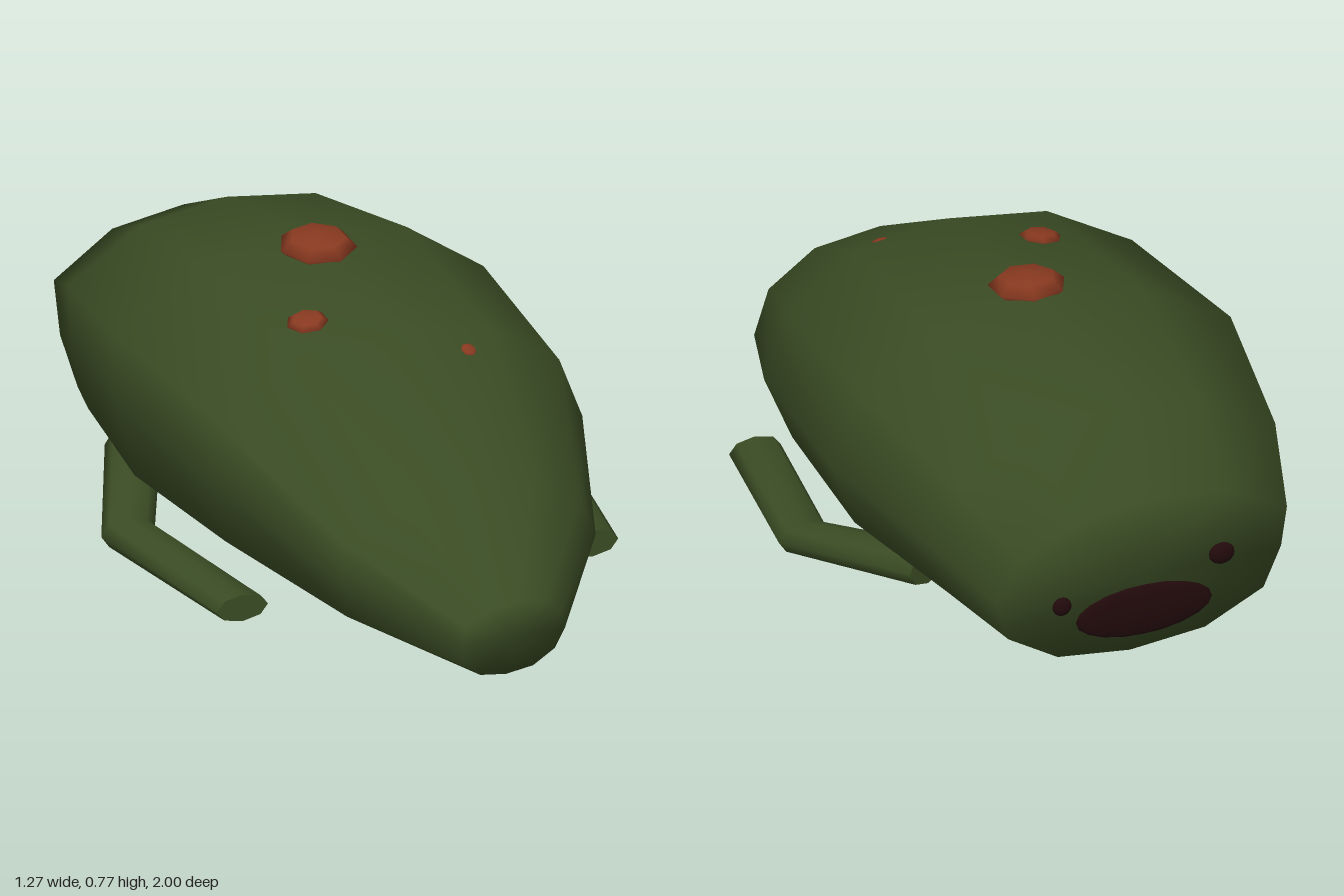
import * as THREE from 'three';

const V = (x, y, z) => new THREE.Vector3(x, y, z);

// Closed loft through elliptical rings { c: centre, u, v: half axes }, listed front to back.
function loft(rings, sides, hardCaps, stretch = () => [1, 1]) {
  const pos = [], idx = [];
  const addRing = ({ c, u, v }) => {
    const start = pos.length / 3;
    for (let j = 0; j < sides; j++) {
      const a = (j / sides) * Math.PI * 2;
      const [su, sv] = stretch(j);
      const p = c.clone().addScaledVector(u, Math.cos(a) * su).addScaledVector(v, Math.sin(a) * sv);
      pos.push(p.x, p.y, p.z);
    }
    return start;
  };
  const starts = rings.map(addRing);
  for (let i = 0; i < rings.length - 1; i++) {
    for (let j = 0; j < sides; j++) {
      const k = (j + 1) % sides;
      const a = starts[i] + j, c = starts[i] + k, b = starts[i + 1] + j, d = starts[i + 1] + k;
      idx.push(a, b, c, c, b, d);
    }
  }
  // End caps, sharing the ring vertices when the edge should be soft
  [0, rings.length - 1].forEach((i, end) => {
    const s = hardCaps ? addRing(rings[i]) : starts[i];
    const mid = pos.length / 3;
    pos.push(rings[i].c.x, rings[i].c.y, rings[i].c.z);
    for (let j = 0; j < sides; j++) {
      const k = (j + 1) % sides;
      if (end === 0) idx.push(mid, s + j, s + k);
      else idx.push(mid, s + k, s + j);
    }
  });
  const g = new THREE.BufferGeometry();
  g.setAttribute('position', new THREE.Float32BufferAttribute(pos, 3));
  g.setIndex(idx);
  g.computeVertexNormals();
  return g;
}

export function createModel() {
  const group = new THREE.Group();
  const material = (name, color) => {
    const m = new THREE.MeshStandardMaterial({ color });
    m.name = name;
    return m;
  };
  const green = material('mossGreen', 0x3a4c24);
  const red = material('rustRed', 0x883920);
  const dark = material('darkMaroon', 0x220a0c);

  const add = (name, geometry, mat) => {
    const mesh = new THREE.Mesh(geometry, mat);
    mesh.name = name;
    group.add(mesh);
    return mesh;
  };

  // Body: tilted rings as [top z, top y, bottom z, bottom y, half width]
  const bodyRings = [
    [1.0, 0.24, 0.93, 0.015, 0.145],
    [0.72, 0.44, 0.64, 0.017, 0.36],
    [0.28, 0.68, 0.22, 0.02, 0.52],
    [-0.28, 0.735, -0.22, 0.0, 0.56],
    [-0.74, 0.645, -0.64, 0.025, 0.48],
    [-1.0, 0.52, -0.84, 0.012, 0.4],
  ].map(([tz, ty, bz, by, w]) => ({
    c: V(0, (ty + by) / 2, (tz + bz) / 2),
    u: V(w, 0, 0),
    v: V(0, (ty - by) / 2, (tz - bz) / 2),
  }));
  // Full shoulders, flattened spine and belly, and a squared-off right flank
  const flank = (j) => [j === 5 ? 1.08 : j === 6 ? 0.94 : 1, j % 6 === 3 ? 1 : 1.035];
  add('body', loft(bodyRings, 12, false, flank), green);

  // Bent, flattened limbs
  for (const s of [1, -1]) {
    const rings = [
      [0.48, 0.07, 0.4, 1, 0, 0.036],
      [0.565, 0.088, -0.1, 1, -0.1, 0.042],
      [0.385, 0.15, -0.465, 0.89, -0.45, 0.052],
    ].map(([x, y, z, ux, uz, h]) => ({
      c: V(s * x, y, z),
      u: V(0.07 * ux, 0, s * 0.07 * uz),
      v: V(0, h, 0),
    }));
    add(s > 0 ? 'leftLimb' : 'rightLimb', loft(rings, 8, true), green);
  }

  // Low domes on the back: position, surface normal, radius, height
  const up = V(0, 1, 0);
  [
    ['largeWart', V(0, 0.73, -0.2), V(0, 1, 0.08), 0.1, 0.036],
    ['mediumWart', V(-0.17, 0.677, 0.11), V(-0.14, 1, 0.12), 0.054, 0.016],
    ['smallWart', V(0.17, 0.623, 0.33), V(0.14, 1, 0.5), 0.025, 0.012],
  ].forEach(([name, p, n, r, h]) => {
    const wart = add(name, new THREE.SphereGeometry(1, 7, 4), red);
    wart.scale.set(r, h, r);
    wart.position.copy(p);
    wart.quaternion.setFromUnitVectors(up, n.normalize());
  });

  // Dark openings on the rear face: position, then half sizes
  [
    ['mouth', V(0, 0.17, -0.927), V(0.185, 0.073, 0.013)],
    ['leftSpot', V(0.225, 0.228, -0.933), V(0.025, 0.025, 0.016)],
    ['rightSpot', V(-0.207, 0.29, -0.938), V(0.034, 0.03, 0.017)],
  ].forEach(([name, p, size]) => {
    const spot = add(name, new THREE.SphereGeometry(1, 20, 10), dark);
    spot.scale.copy(size);
    spot.position.copy(p);
    spot.rotation.x = -0.08;
  });

  return group;
}
